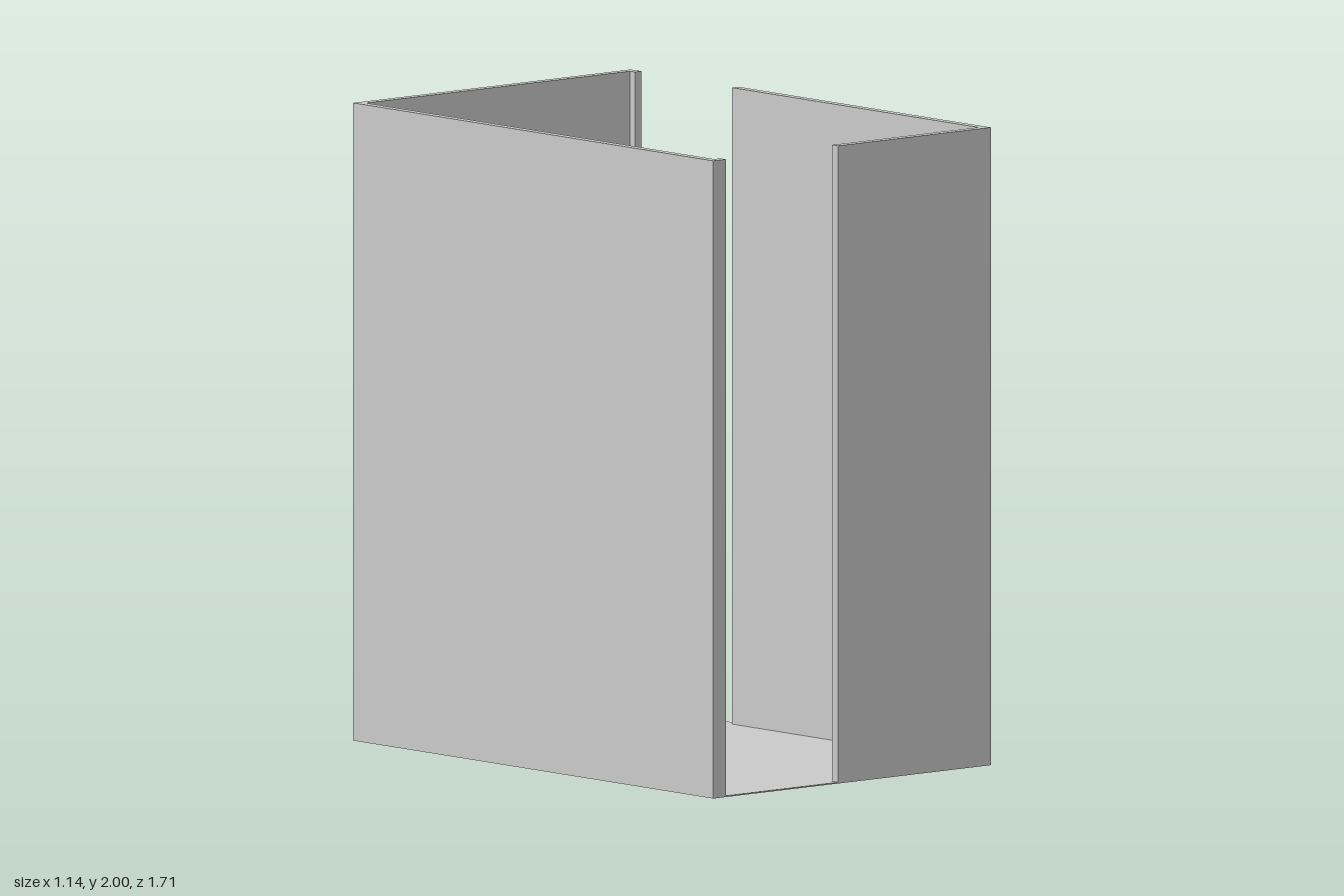
import * as THREE from 'three';

export function createModel() {
  const group = new THREE.Group();
  const material = new THREE.MeshStandardMaterial({ color: 0xcccccc, flatShading: true });
  const X = 0.57, Z = 0.855, T = 0.028, FLOOR = 0.004, HEIGHT = 2;

  // Box given by its extents on the plan and in height
  function slab(name, x0, x1, z0, z1, y0 = FLOOR, y1 = HEIGHT) {
    const mesh = new THREE.Mesh(new THREE.BoxGeometry(x1 - x0, y1 - y0, z1 - z0), material);
    mesh.position.set((x0 + x1) / 2, (y0 + y1) / 2, (z0 + z1) / 2);
    mesh.name = name;
    group.add(mesh);
  }

  // Thin floor under the whole room
  slab('floor', -X, X, -Z, Z, 0, FLOOR);

  // Two full walls
  slab('rightWall', -X, -X + T, -Z, Z);
  slab('backWall', -X + T, X, -Z, -Z + T);

  // Front wall with a doorway, leaving a short jamb at the corner
  slab('frontWall', -0.058, X - T, Z - T, Z);
  slab('frontDoorJamb', -X + T, -0.518, Z - T, Z);

  // Left wall with a doorway, leaving a short jamb at the back corner
  slab('leftWall', X - T, X, -0.343, Z);
  slab('leftDoorJamb', X - T, X, -Z + T, -0.803);

  return group;
}
